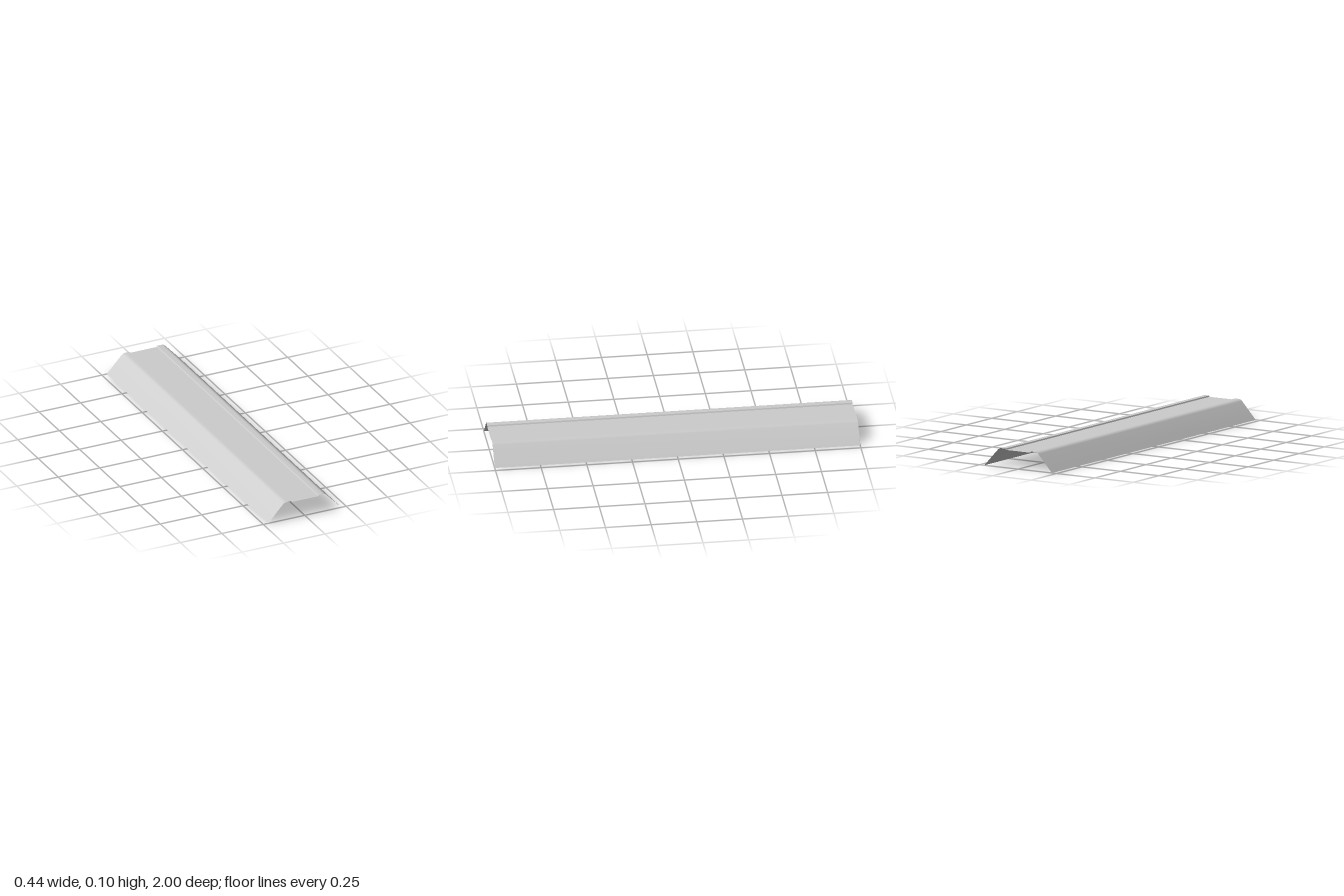
import * as THREE from 'three';
import { toCreasedNormals } from 'three/addons/utils/BufferGeometryUtils.js';

const LENGTH = 2;
const material = new THREE.MeshStandardMaterial({ color: 0xcccccc, side: THREE.DoubleSide });

// Thin open sheet: a cross-section of [x, y] points (left to right) swept along z
function sheet(name, profile) {
  const positions = [];
  const index = [];
  profile.forEach(([x, y], i) => {
    positions.push(x, y, LENGTH / 2, x, y, -LENGTH / 2);
    if (i > 0) {
      const a = 2 * (i - 1), b = 2 * i;
      index.push(a, b, b + 1, a, b + 1, a + 1);
    }
  });
  const geometry = new THREE.BufferGeometry();
  geometry.setAttribute('position', new THREE.Float32BufferAttribute(positions, 3));
  geometry.setIndex(index);
  const mesh = new THREE.Mesh(toCreasedNormals(geometry, Math.PI / 6), material);
  mesh.name = name;
  return mesh;
}

export function createModel() {
  const group = new THREE.Group();
  group.name = 'ridgeCap';

  // Flat middle strip, slightly below the shoulders
  group.add(sheet('centerPanel', [[-0.08, 0.098], [0.08, 0.098]]));

  // Small step, rounded shoulder and sloping flange
  const side = [[0.08, 0.098], [0.084, 0.105]];
  const bend = new THREE.QuadraticBezierCurve(
    new THREE.Vector2(0.108, 0.105), new THREE.Vector2(0.122, 0.105), new THREE.Vector2(0.132, 0.095));
  bend.getPoints(6).forEach((p) => side.push([p.x, p.y]));
  side.push([0.22, 0]);

  group.add(sheet('leftFlange', side));
  group.add(sheet('rightFlange', side.map(([x, y]) => [-x, y]).reverse()));
  return group;
}
